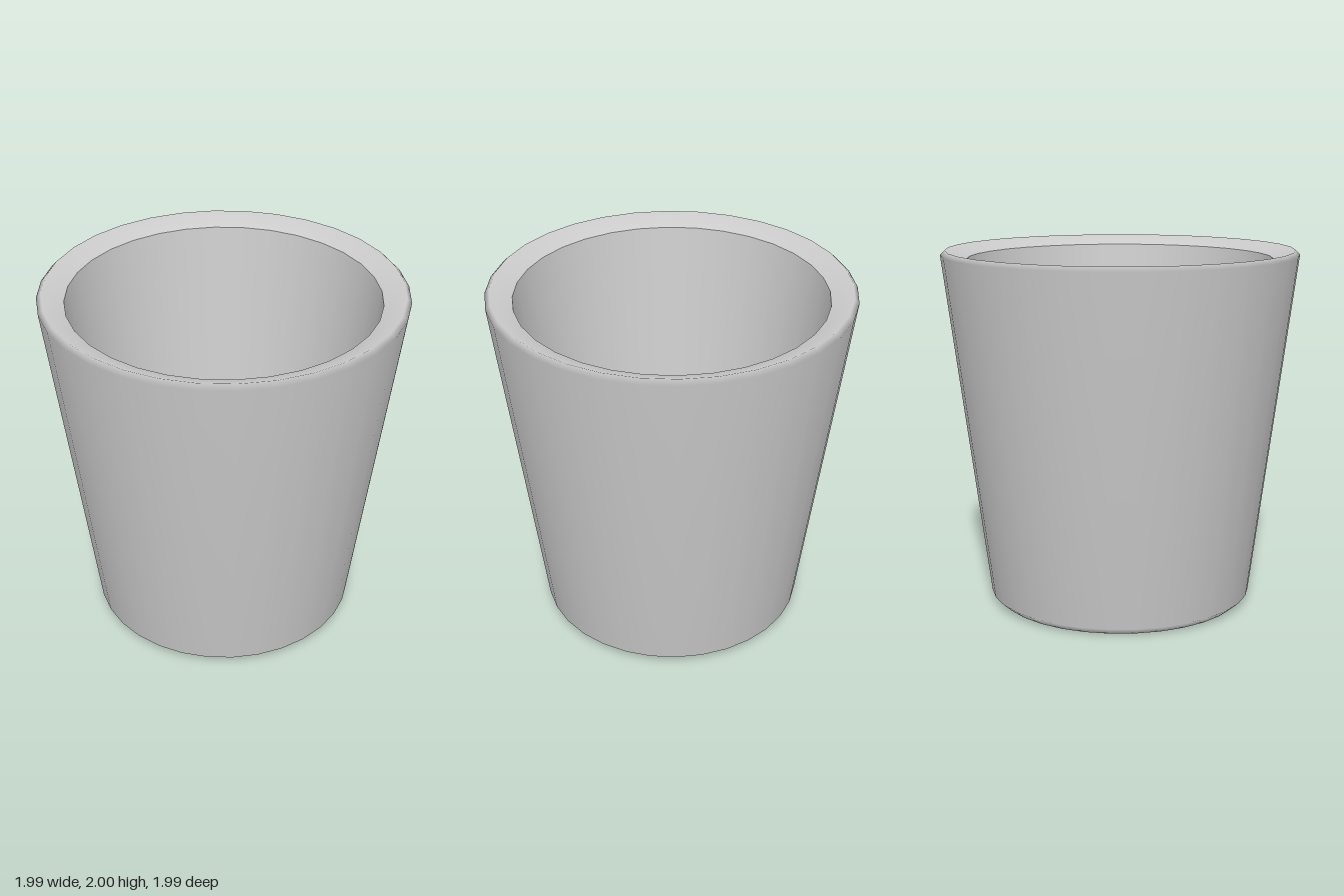
import * as THREE from 'three';

const SIDES = 32;

// Spins a profile of [radius, height] pairs around the vertical axis
function turned(name, profile, material) {
  const points = profile.map(([r, y]) => new THREE.Vector2(r, y));
  const mesh = new THREE.Mesh(new THREE.LatheGeometry(points, SIDES), material);
  mesh.name = name;
  return mesh;
}

export function createModel() {
  const group = new THREE.Group();
  group.name = 'cup';
  const material = new THREE.MeshStandardMaterial({ color: 0xcccccc });

  // Underside, bevelled foot, tapered wall and inward-sloping rim
  group.add(turned('outerShell', [
    [0, 0], [0.7, 0], [0.745, 0.04], [0.995, 1.975], [0.97, 2], [0.85, 1.95],
  ], material));

  // Tapered inside wall
  group.add(turned('innerWall', [[0.85, 1.95], [0.645, 0.3]], material));

  // Slightly dished inside floor
  group.add(turned('innerFloor', [
    [0.645, 0.3], [0.43, 0.267], [0.215, 0.247], [0, 0.24],
  ], material));

  return group;
}
